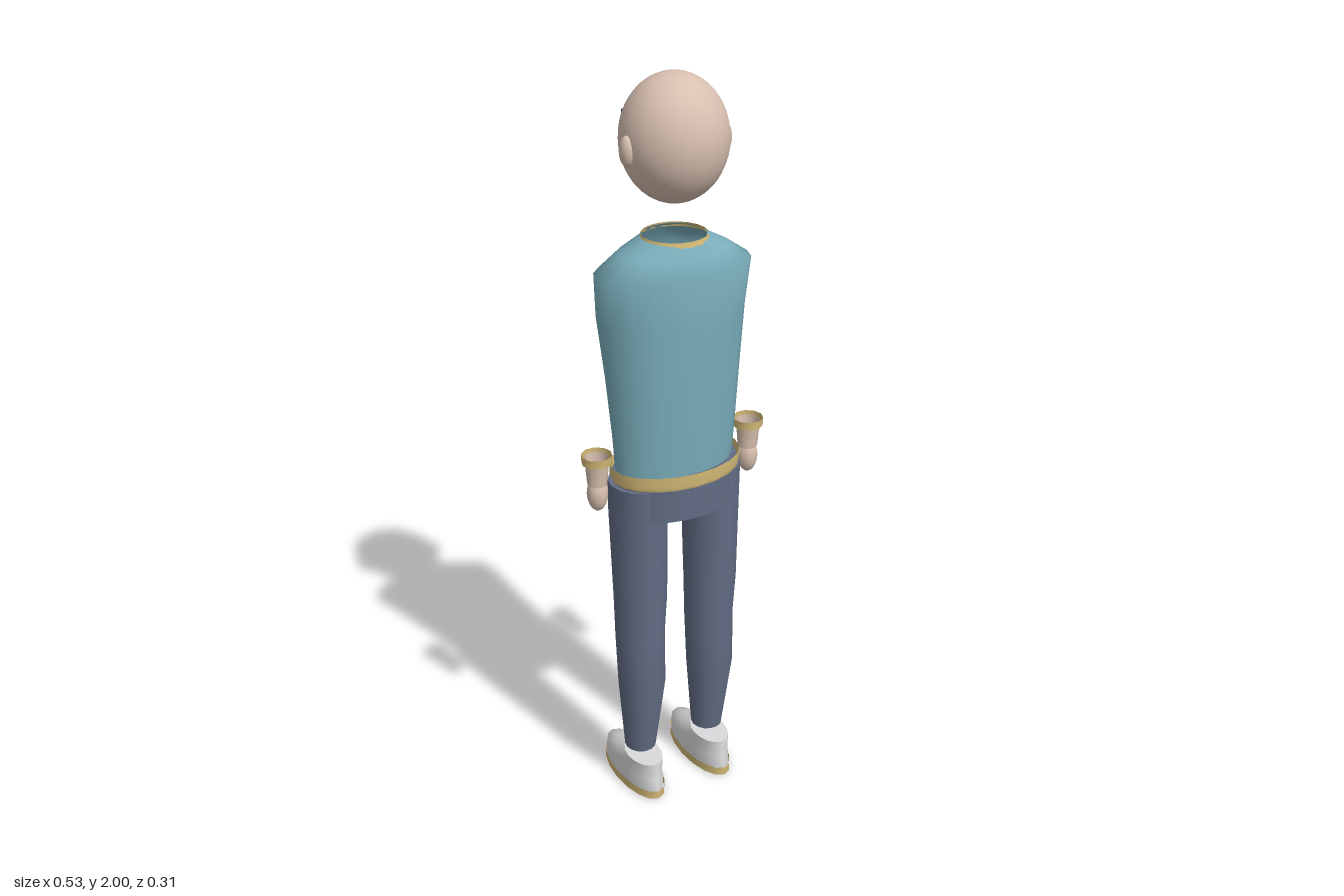
import * as THREE from 'three';

const mat = (name, color, side = THREE.FrontSide) => {
  const m = new THREE.MeshStandardMaterial({ color, side });
  m.name = name;
  return m;
};

// Smooth loft through elliptical rings [y, centreX, centreZ, radiusX, radiusZ], bottom to top
function loft(rings, n = 16, caps = true) {
  const pos = [], idx = [];
  const addRing = ([y, cx, cz, rx, rz]) => {
    const start = pos.length / 3;
    for (let i = 0; i < n; i++) {
      const a = (i / n) * Math.PI * 2;
      pos.push(cx + rx * Math.cos(a), y, cz + rz * Math.sin(a));
    }
    return start;
  };
  const starts = rings.map(addRing);
  for (let r = 0; r < rings.length - 1; r++) {
    for (let i = 0; i < n; i++) {
      const j = (i + 1) % n, lo = starts[r], hi = starts[r + 1];
      idx.push(lo + i, hi + i, lo + j, lo + j, hi + i, hi + j);
    }
  }
  if (caps) {
    [rings[0], rings[rings.length - 1]].forEach((ring, top) => {
      const s = addRing(ring), c = pos.length / 3;
      pos.push(ring[1], ring[0], ring[2]);
      for (let i = 0; i < n; i++) {
        const j = (i + 1) % n;
        if (top) idx.push(c, s + j, s + i);
        else idx.push(c, s + i, s + j);
      }
    });
  }
  const g = new THREE.BufferGeometry();
  g.setAttribute('position', new THREE.Float32BufferAttribute(pos, 3));
  g.setIndex(idx);
  g.computeVertexNormals();
  return g;
}

export function createModel() {
  const model = new THREE.Group();
  model.name = 'standingFigure';
  const D = THREE.DoubleSide;
  const skin = mat('skin', 0xd8c0b0, D);
  const shirt = mat('shirtTeal', 0x7aaebb, D);
  const trousers = mat('trouserBlue', 0x626c84);
  const gold = mat('goldTrim', 0xd2b876, D);
  const white = mat('shoeWhite', 0xdadadc);
  const dark = mat('darkNavy', 0x2b3244);
  const eyeWhite = mat('eyeWhite', 0xf0f0f0);

  const add = (name, geometry, material) => {
    const m = new THREE.Mesh(geometry, material);
    m.name = name;
    model.add(m);
    return m;
  };
  const ellipsoid = (name, p, r, material, w = 16, h = 12) => {
    const m = add(name, new THREE.SphereGeometry(1, w, h), material);
    m.position.set(...p);
    m.scale.set(...r);
    return m;
  };

  // Head and face, looking toward -z
  ellipsoid('head', [0, 1.845, 0.023], [0.132, 0.155, 0.134], skin, 32, 24);
  ellipsoid('nose', [0, 1.822, -0.122], [0.015, 0.024, 0.02], skin, 10, 8);
  const chin = ellipsoid('chin', [0, 1.726, -0.04], [0.07, 0.024, 0.053], skin);
  chin.rotation.x = 0.3;
  const mouth = add('mouth', new THREE.CapsuleGeometry(0.007, 0.06, 4, 8), dark);
  mouth.rotation.z = Math.PI / 2;
  mouth.position.set(0, 1.77, -0.096);

  // Sweater torso, open at the neck and hem
  add('torso', loft([
    [0.99, 0, 0.023, 0.163, 0.1],
    [1.08, 0, 0.024, 0.169, 0.105],
    [1.25, 0, 0.018, 0.182, 0.12],
    [1.41, 0, 0.009, 0.198, 0.133],
    [1.53, 0, 0.02, 0.21, 0.121],
    [1.575, 0, 0.022, 0.145, 0.1],
    [1.61, 0, 0.025, 0.08, 0.078],
  ], 18, false), shirt);
  add('collar', loft([
    [1.6, 0, 0.025, 0.088, 0.084],
    [1.613, 0, 0.025, 0.083, 0.08],
  ], 20, false), gold);
  add('belt', loft([
    [0.975, 0, 0.03, 0.176, 0.118],
    [0.985, 0, 0.03, 0.18, 0.121],
    [1.015, 0, 0.03, 0.18, 0.121],
  ], 20, false), gold);
  add('pelvis', loft([
    [0.88, 0, 0.029, 0.168, 0.11],
    [1.0, 0, 0.029, 0.174, 0.112],
  ], 18), trousers);

  for (const s of [-1, 1]) {
    const side = s > 0 ? 'left' : 'right';

    // Ears, eyes and brows
    ellipsoid(side + 'Ear', [s * 0.131, 1.832, 0.033], [0.017, 0.037, 0.023], skin, 12, 10);
    ellipsoid(side + 'Eye', [s * 0.048, 1.853, -0.097], [0.016, 0.013, 0.011], eyeWhite, 12, 8);
    ellipsoid(side + 'Pupil', [s * 0.048, 1.853, -0.106], [0.008, 0.008, 0.005], dark, 10, 8);
    const brow = add(side + 'Brow', new THREE.BoxGeometry(0.042, 0.012, 0.02), dark);
    brow.position.set(s * 0.05, 1.885, -0.1);
    brow.rotation.set(0, -s * 0.3, s * 0.1);

    // Tapered legs with a slight calf
    add(side + 'Leg', loft([
      [0.13, s * 0.107, 0.025, 0.043, 0.045],
      [0.35, s * 0.107, 0.037, 0.064, 0.067],
      [0.5, s * 0.107, 0.029, 0.067, 0.066],
      [0.62, s * 0.107, 0.033, 0.071, 0.073],
      [0.88, s * 0.108, 0.027, 0.076, 0.082],
      [0.97, s * 0.108, 0.028, 0.077, 0.083],
    ], 14), trousers);

    // Shoe with a gold welt
    const x = s * 0.107;
    add(side + 'Shoe', loft([
      [0, x, -0.012, 0.053, 0.137],
      [0.035, x, -0.012, 0.055, 0.139],
      [0.06, x, -0.014, 0.054, 0.133],
      [0.085, x, 0.013, 0.051, 0.104],
      [0.11, x, 0.042, 0.047, 0.072],
    ], 16), white);
    add(side + 'ShoeWelt', loft([
      [0.004, x, -0.012, 0.058, 0.142],
      [0.028, x, -0.012, 0.058, 0.142],
    ], 16, false), gold);

    // Hollow wrist, cuff band and hand
    const hx = s * 0.223, hz = 0.025;
    add(side + 'Wrist', loft([
      [0.985, hx, hz, 0.026, 0.026],
      [1.06, hx, hz, 0.032, 0.032],
    ], 10, false), skin);
    add(side + 'Cuff', loft([
      [1.045, hx, hz, 0.039, 0.039],
      [1.068, hx, hz, 0.04, 0.04],
    ], 10, false), gold);
    ellipsoid(side + 'Hand', [hx, 0.957, hz], [0.027, 0.047, 0.029], skin, 12, 10);
    ellipsoid(side + 'Thumb', [s * 0.199, 0.964, hz - 0.008], [0.009, 0.02, 0.011], skin, 8, 6);
  }
  return model;
}
